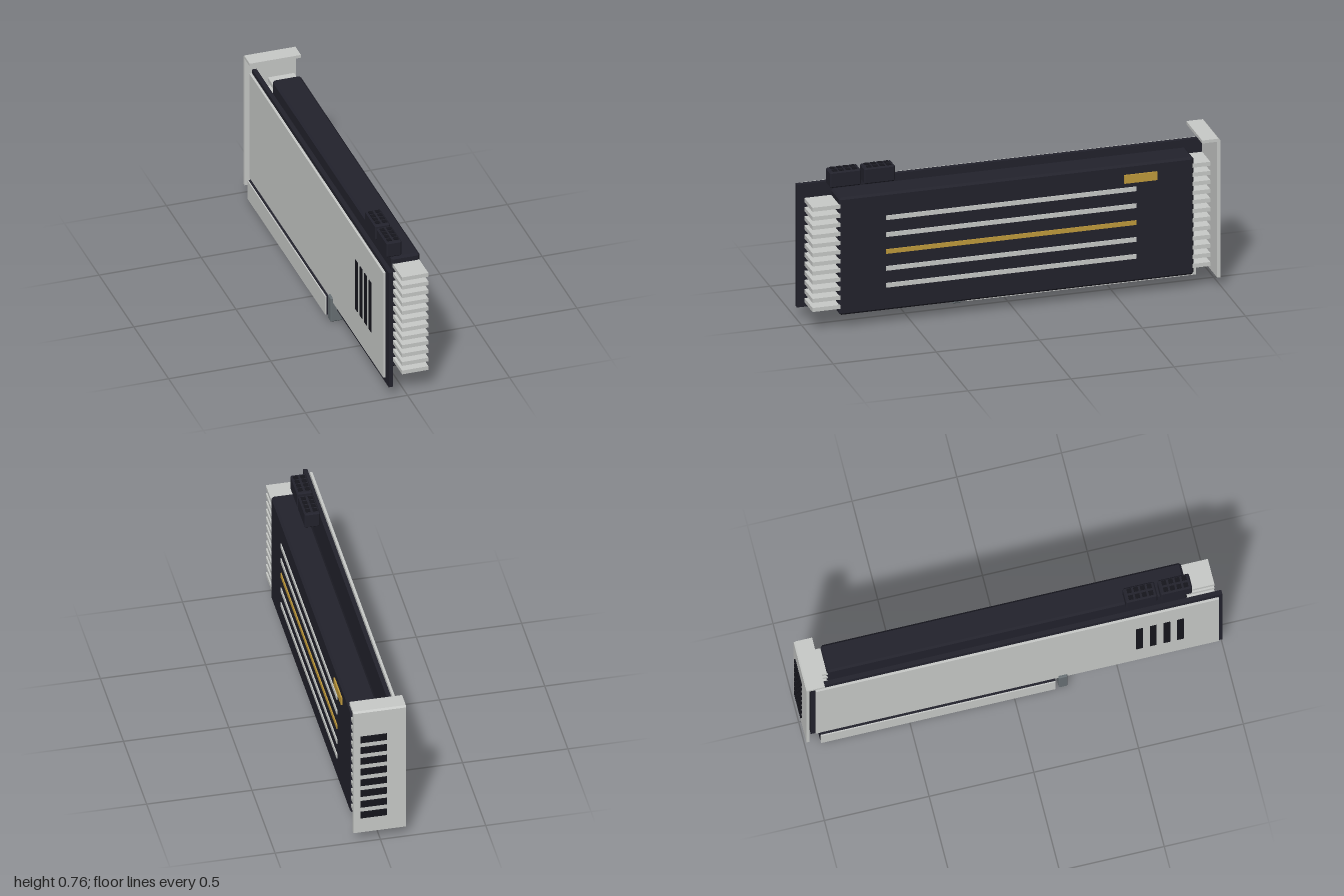
import * as THREE from 'three';
import { ConvexGeometry } from 'three/addons/geometries/ConvexGeometry.js';

const material = (name, color) => {
  const m = new THREE.MeshStandardMaterial({ color });
  m.name = name;
  return m;
};

export function createModel() {
  const dark = material('dark navy', 0x22222c);
  const silver = material('silver', 0xc8cac8);
  const gold = material('gold', 0xc09a3c);
  const grey = material('slate grey', 0x687074);
  const black = material('vent black', 0x15151c);

  const model = new THREE.Group();
  model.name = 'expansionCard';

  const add = (name, geometry, mat, parent = model) => {
    const mesh = new THREE.Mesh(geometry, mat);
    mesh.name = name;
    parent.add(mesh);
    return mesh;
  };
  const group = (name) => {
    const g = new THREE.Group();
    g.name = name;
    model.add(g);
    return g;
  };

  // Box given by its [min, max] extents on each axis
  const box = (name, x, y, z, mat, parent) => {
    const g = new THREE.BoxGeometry(x[1] - x[0], y[1] - y[0], z[1] - z[0]);
    g.translate((x[0] + x[1]) / 2, (y[0] + y[1]) / 2, (z[0] + z[1]) / 2);
    return add(name, g, mat, parent);
  };

  // Box with every edge cut by a chamfer c
  const chamferBox = (name, x, y, z, c, mat, parent) => {
    const ranges = [x, y, z];
    const points = [];
    for (let corner = 0; corner < 8; corner++) {
      for (let full = 0; full < 3; full++) {
        const p = ranges.map((r, axis) => {
          const high = (corner >> axis) & 1;
          const inset = axis === full ? 0 : c;
          return high ? r[1] - inset : r[0] + inset;
        });
        points.push(new THREE.Vector3(...p));
      }
    }
    return add(name, new ConvexGeometry(points), mat, parent);
  };

  // Circuit board and rear cover plate
  box('circuitBoard', [-0.092, -0.071], [0.06, 0.675], [-0.965, 1], dark);
  const back = group('backPlate');
  box('backPlatePanel', [-0.112, -0.1], [0.105, 0.668], [-0.945, 0.98], silver, back);
  for (let i = 0; i < 4; i++) {
    const z = 0.6 + i * 0.065;
    box('backPlateVent', [-0.115, -0.111], [0.255, 0.52], [z - 0.016, z + 0.016], black, back);
  }

  // Shroud with the cooling fins running through it
  chamferBox('shroud', [-0.026, 0.113], [0.072, 0.66], [-0.87, 0.85], 0.01, dark);
  const fins = group('coolingFins');
  for (let i = 0; i < 12; i++) {
    const y = 0.115 + i * 0.0456;
    box('coolingFin', [-0.02, 0.109], [y - 0.01, y + 0.01], [-0.95, 0.98], silver, fins);
  }

  // Stripes and badge on the shroud
  const trim = group('shroudTrim');
  for (let i = 0; i < 5; i++) {
    const y = 0.199 + i * 0.0845;
    box('stripe', [0.112, 0.118], [y - 0.011, y + 0.011], [-0.59, 0.625], i === 2 ? gold : silver, trim);
  }
  box('badge', [0.112, 0.12], [0.57, 0.612], [-0.69, -0.53], gold, trim);

  // Mounting bracket: an L profile across x, with a softened bend
  const profile = new THREE.Shape();
  profile.moveTo(0.978, 0.05);
  profile.lineTo(0.993, 0.05);
  profile.lineTo(0.993, 0.737);
  profile.lineTo(0.985, 0.745);
  profile.lineTo(0.905, 0.745);
  profile.lineTo(0.905, 0.73);
  profile.lineTo(0.978, 0.73);
  profile.closePath();
  const bracketShape = new THREE.ExtrudeGeometry(profile, { depth: 0.251, bevelEnabled: false });
  bracketShape.rotateY(Math.PI / 2);
  bracketShape.translate(-0.124, 0, 0);
  const bracket = group('mountingBracket');
  add('bracketPlate', bracketShape, silver, bracket);
  for (let i = 0; i < 8; i++) {
    const y = 0.152 + i * 0.062;
    box('bracketVent', [-0.032, 0.094], [y - 0.017, y + 0.017], [-1, -0.992], black, bracket);
  }

  // Slot connector: dark core with silver side plates
  const slot = group('slotConnector');
  box('slotCore', [-0.123, -0.04], [0.008, 0.108], [-0.925, 0.195], dark, slot);
  for (const x of [-0.129, -0.041]) {
    box('slotSidePlate', [x, x + 0.007], [0.01, 0.106], [-0.925, 0.195], silver, slot);
  }
  chamferBox('retentionClip', [-0.123, -0.041], [0, 0.13], [0.212, 0.255], 0.005, grey);

  // Two power sockets with rows of pins on top
  for (const z of [0.55, 0.716]) {
    const socket = group('powerSocket');
    chamferBox('socketBody', [-0.056, 0.018], [0.674, 0.753], [z, z + 0.15], 0.006, dark, socket);
    for (const px of [-0.036, -0.002]) {
      for (let i = 0; i < 4; i++) {
        const pz = z + 0.027 + i * 0.032;
        box('socketPin', [px - 0.011, px + 0.011], [0.75, 0.756], [pz - 0.011, pz + 0.011], black, socket);
      }
    }
  }

  return model;
}
